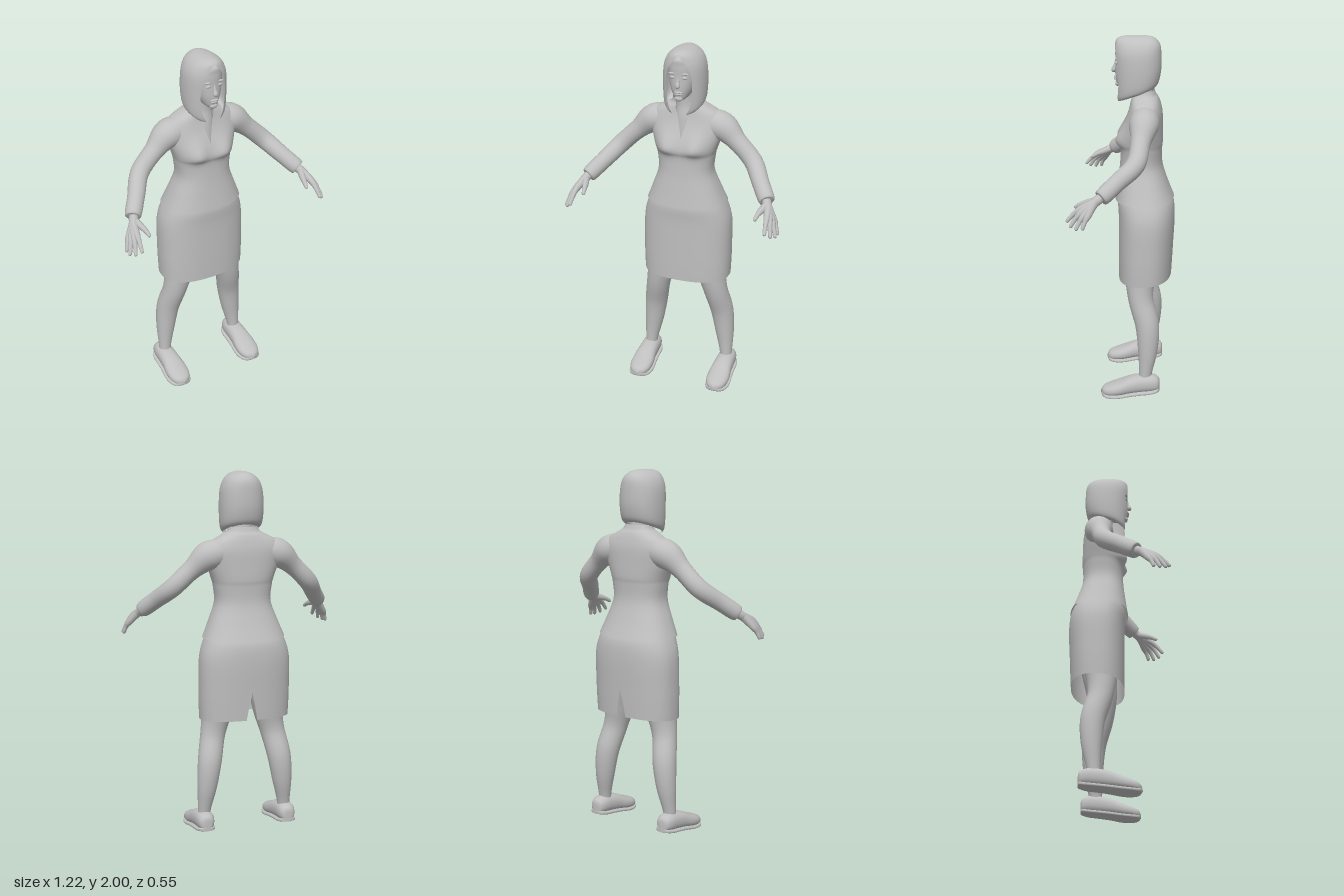
import * as THREE from 'three';
import { mergeVertices } from 'three/addons/utils/BufferGeometryUtils.js';

const grey = new THREE.MeshStandardMaterial({ color: 0xbfbfbf, side: THREE.DoubleSide });
grey.name = 'plain grey';

function smooth(geo) {
  geo.deleteAttribute('normal');
  geo.deleteAttribute('uv');
  const merged = mergeVertices(geo, 1e-5);
  merged.computeVertexNormals();
  return merged;
}

// Catmull-Rom value through a list of rings
function blend(rings, t, k) {
  const n = rings.length - 1, i = Math.min(Math.floor(t), n - 1), f = t - i;
  const g = (j) => rings[Math.max(0, Math.min(n, j))][k] ?? 0;
  const a = g(i - 1), b = g(i), c = g(i + 1), d = g(i + 2);
  return b + 0.5 * f * (c - a + f * (2 * a - 5 * b + 4 * c - d + f * (3 * (b - c) + d - a)));
}

// Rings from bottom to top: [y, halfWidth, zBack, zFront, gapAngle, tilt]
// start is the angle of the seam (0 front, PI back); gapAngle opens the seam
function loft(rings, { start = 0, n = 2.2, seg = 48, sub = 5, shape } = {}) {
  const rows = (rings.length - 1) * sub, pos = [], idx = [];
  const pw = (v) => Math.sign(v) * Math.pow(Math.abs(v) < 1e-9 ? 0 : Math.abs(v), 2 / n);
  for (let i = 0; i <= rows; i++) {
    const [y, w, zb, zf, gap, tilt] = [0, 1, 2, 3, 4, 5].map((k) => blend(rings, i / sub, k));
    const open = Math.max(0, gap);
    for (let j = 0; j <= seg; j++) {
      const a = start + open + (2 * Math.PI - 2 * open) * j / seg;
      const p = new THREE.Vector3(Math.max(0, w) * pw(Math.sin(a)), y + tilt * Math.cos(a),
        (zb + zf) / 2 + (zf - zb) / 2 * pw(Math.cos(a)));
      if (shape) shape(p, a);
      pos.push(p.x, p.y, p.z);
    }
  }
  for (let i = 0; i < rows; i++) {
    for (let j = 0; j < seg; j++) {
      const a = i * (seg + 1) + j, b = a + seg + 1;
      idx.push(a, a + 1, b + 1, a, b + 1, b);
    }
  }
  const geo = new THREE.BufferGeometry();
  geo.setAttribute('position', new THREE.Float32BufferAttribute(pos, 3));
  geo.setIndex(idx);
  return smooth(geo);
}

// Tapered tube through [x, y, z, radius] points; side mirrors it in x
function limb(points, side = 1, radial = 20) {
  const curve = new THREE.CatmullRomCurve3(points.map((p) => new THREE.Vector3(p[0] * side, p[1], p[2])));
  curve.getPointAt = curve.getPoint;
  curve.getTangentAt = curve.getTangent;
  const segs = (points.length - 1) * 6;
  const geo = new THREE.TubeGeometry(curve, segs, 1, radial, false);
  const pos = geo.attributes.position, nor = geo.attributes.normal;
  const c = new THREE.Vector3(), d = new THREE.Vector3();
  for (let i = 0; i < pos.count; i++) {
    const t = Math.floor(i / (radial + 1)) / segs;
    const r = Math.max(0, blend(points, t * (points.length - 1), 3));
    c.copy(curve.getPoint(t)).addScaledVector(d.fromBufferAttribute(nor, i), r);
    pos.setXYZ(i, c.x, c.y, c.z);
  }
  return smooth(geo);
}

export function createModel() {
  const group = new THREE.Group();
  const add = (name, geo) => {
    const mesh = new THREE.Mesh(geo, grey);
    mesh.name = name;
    group.add(mesh);
    return mesh;
  };
  const ball = (name, x, y, z, sx, sy, sz) => {
    const mesh = add(name, new THREE.SphereGeometry(1, 16, 12));
    mesh.position.set(x, y, z);
    mesh.scale.set(sx, sy, sz);
  };

  // Skirt with a slit at the back hem
  add('skirt', loft([
    [0.66, 0.25, -0.258, 0.035, 0.08, -0.01], [0.74, 0.253, -0.262, 0.036, 0.04, -0.007],
    [0.83, 0.254, -0.266, 0.036, 0], [1.0, 0.25, -0.273, 0.036, 0],
    [1.1, 0.222, -0.262, 0.04, 0], [1.16, 0.19, -0.22, 0.02, 0],
  ], { start: Math.PI, n: 2.4 }));

  // Fitted jacket, open in a V at the neck
  add('jacket', loft([
    [1.11, 0.226, -0.267, 0.055], [1.2, 0.19, -0.232, 0.042], [1.3, 0.155, -0.202, 0.03],
    [1.39, 0.162, -0.2, 0.026], [1.43, 0.172, -0.204, 0.032], [1.5, 0.195, -0.203, 0.015],
    [1.58, 0.212, -0.2, -0.012, 0.06], [1.63, 0.185, -0.19, -0.025, 0.13],
    [1.665, 0.125, -0.178, -0.03, 0.3], [1.685, 0.09, -0.165, -0.035, 0.45],
    [1.71, 0.078, -0.155, -0.035, 0.6],
  ], {
    n: 2.4,
    shape(p, a) {
      const front = Math.max(0, Math.cos(a));
      const dx = (Math.abs(p.x) - 0.085) / 0.055, dy = (p.y - 1.445) / (p.y < 1.445 ? 0.035 : 0.07);
      p.z += 0.03 * Math.sqrt(front) * Math.exp(-dx * dx - dy * dy);
    },
  }));

  // Neck and upper chest
  add('neck', limb([[0, 1.46, -0.075, 0.07], [0, 1.6, -0.085, 0.065], [0, 1.68, -0.09, 0.056], [0, 1.8, -0.08, 0.052]]));

  // Head and facial features
  add('head', loft([
    [1.725, 0, -0.01, 0.03], [1.732, 0.025, -0.04, 0.046], [1.755, 0.046, -0.09, 0.052],
    [1.8, 0.067, -0.13, 0.056], [1.86, 0.079, -0.15, 0.055], [1.92, 0.079, -0.16, 0.055],
    [1.96, 0.058, -0.14, 0.045], [1.98, 0, -0.06, -0.04],
  ]));
  add('nose', limb([[0, 1.865, 0.052, 0.005], [0, 1.835, 0.058, 0.009], [0, 1.812, 0.063, 0.014], [0, 1.8, 0.056, 0.002]]));
  ball('upperLip', 0, 1.778, 0.053, 0.024, 0.006, 0.011);
  ball('lowerLip', 0, 1.767, 0.052, 0.02, 0.007, 0.011);
  ball('chin', 0, 1.74, 0.044, 0.022, 0.014, 0.012);

  // Bobbed hair, longer at the front and parted around the face
  add('hair', loft([
    [1.685, 0.092, -0.145, 0.045, 0.4, -0.037], [1.7, 0.108, -0.165, 0.05, 0.45, -0.03],
    [1.74, 0.116, -0.18, 0.053, 0.58, -0.018], [1.82, 0.118, -0.191, 0.058, 0.62],
    [1.9, 0.112, -0.191, 0.062, 0.52], [1.95, 0.094, -0.185, 0.058, 0.22],
    [1.98, 0.066, -0.165, 0.048, 0], [1.995, 0.035, -0.135, 0.015, 0], [2.0, 0, -0.08, -0.04, 0],
  ], { n: 2.2 }));

  for (const side of [1, -1]) {
    const s = side > 0 ? 'left' : 'right';
    ball(s + 'Eye', side * 0.033, 1.857, 0.047, 0.017, 0.008, 0.008);
    ball(s + 'Brow', side * 0.034, 1.878, 0.047, 0.023, 0.006, 0.008);

    // Sleeve
    add(s + 'Sleeve', limb([
      [0.09, 1.575, -0.11, 0.07], [0.195, 1.558, -0.108, 0.08], [0.285, 1.487, -0.095, 0.054],
      [0.385, 1.392, -0.073, 0.051], [0.455, 1.315, 0.018, 0.047], [0.515, 1.25, 0.095, 0.041],
      [0.517, 1.248, 0.098, 0],
    ], side));

    // Hand: fingers fan out from the wrist and overlap to form the palm
    const knuckles = [[0.545, 1.2, 0.2], [0.56, 1.185, 0.195], [0.572, 1.173, 0.18], [0.578, 1.168, 0.16]];
    const tips = [[0.553, 1.135, 0.268], [0.58, 1.115, 0.248], [0.598, 1.107, 0.218], [0.601, 1.11, 0.185]];
    knuckles.forEach((k, i) => {
      const t = tips[i], mid = k.map((v, j) => (v + t[j]) / 2 + (j === 1 ? 0.006 : 0));
      add(s + 'Finger' + (i + 1), limb([
        [0.505, 1.26, 0.085, 0.024], [0.528, 1.232, 0.125, 0.024], [...k, 0.017],
        [...mid, 0.012], [...t, 0.009], [t[0], t[1] - 0.005, t[2] + 0.004, 0],
      ], side, 10));
    });
    add(s + 'Thumb', limb([
      [0.52, 1.24, 0.115, 0.02], [0.505, 1.224, 0.16, 0.018], [0.494, 1.21, 0.2, 0.013],
      [0.488, 1.193, 0.23, 0.009], [0.487, 1.19, 0.236, 0],
    ], side, 10));

    // Leg
    add(s + 'Leg', limb([
      [0.125, 0.85, -0.11, 0.1], [0.15, 0.68, -0.09, 0.083], [0.175, 0.56, -0.095, 0.069],
      [0.203, 0.42, -0.132, 0.066], [0.22, 0.28, -0.137, 0.055], [0.234, 0.14, -0.125, 0.036],
      [0.236, 0.07, -0.12, 0.036],
    ], side, 24));

    // Shoe and sole, lofted from heel to toe: [z, halfWidth, -top, -bottom]
    const shoe = [
      [-0.205, 0, -0.085, -0.06], [-0.198, 0.034, -0.118, -0.045], [-0.16, 0.05, -0.136, -0.037],
      [-0.1, 0.054, -0.134, -0.03], [-0.04, 0.058, -0.12, -0.022], [0.02, 0.065, -0.094, -0.012],
      [0.07, 0.06, -0.075, -0.008], [0.108, 0.038, -0.058, -0.01], [0.124, 0, -0.035, -0.022],
    ];
    const sole = shoe.map(([z, w, , b]) => [z, w && w + 0.005, Math.max(b, -0.045) - 0.016, Math.max(b, -0.045) + 0.006]);
    for (const [name, rings, n] of [['Shoe', shoe, 2.3], ['Sole', sole, 3.5]]) {
      add(s + name, loft(rings, { n, seg: 32 }).rotateX(Math.PI / 2)).position.x = side * 0.238;
    }
  }
  return group;
}
